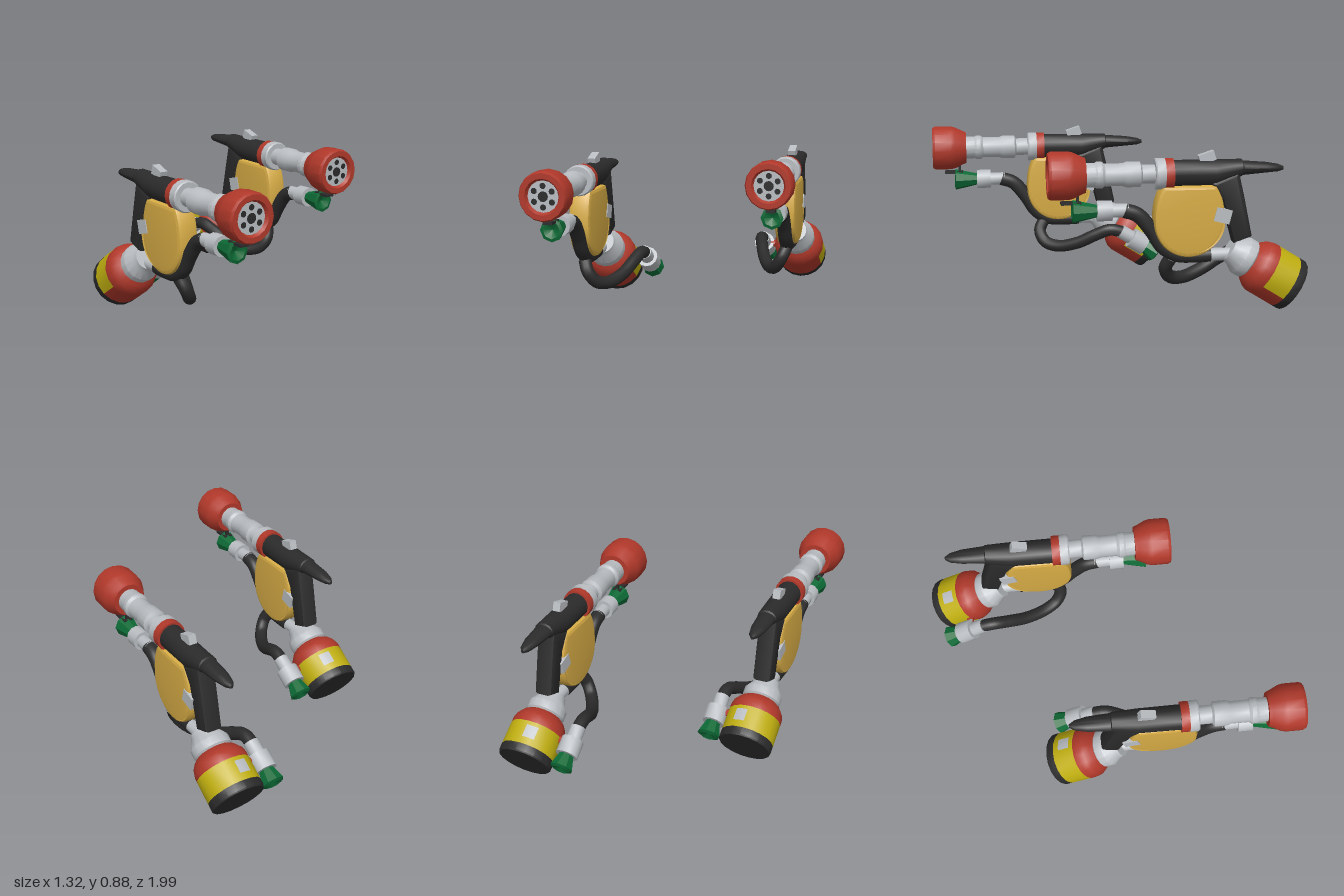
import * as THREE from 'three';
import { toCreasedNormals } from 'three/addons/utils/BufferGeometryUtils.js';

const mat = (name, color) => {
  const m = new THREE.MeshStandardMaterial({ color });
  m.name = name;
  return m;
};
const V = (x, y, z) => new THREE.Vector3(x, y, z);
const UP = V(0, 1, 0);
const FORWARD = V(0, 0, 1);
const TILT = V(0, 0.53, 0.85).normalize(); // fuel tank axis, from its base to its neck

// One torch gun centred on x = 0; side (+1 / -1) is where the loose hose hangs.
function makeTorch(M, side) {
  const gun = new THREE.Group();

  const add = (name, geometry, material) => {
    const mesh = new THREE.Mesh(geometry, material);
    mesh.name = name;
    gun.add(mesh);
    return mesh;
  };

  // Turned part: profile of [radius, distance] along dir from origin
  const turned = (name, material, origin, dir, profile, sides = 16, start = 0, sweep = Math.PI * 2) => {
    const pts = profile.map(([r, d]) => new THREE.Vector2(r, d));
    const g = toCreasedNormals(new THREE.LatheGeometry(pts, sides, start, sweep), 0.6);
    const mesh = add(name, g, material);
    mesh.position.copy(origin);
    mesh.quaternion.setFromUnitVectors(UP, dir);
    return mesh;
  };

  // Plate drawn in the (z, y) plane and extruded across x
  const plate = (name, material, shape, width, bevel) => {
    const g = new THREE.ExtrudeGeometry(shape, {
      depth: width - 2 * bevel, bevelThickness: bevel, bevelSize: bevel,
      bevelOffset: -bevel, bevelSegments: 2, curveSegments: 20,
    });
    g.translate(0, 0, -width / 2 + bevel);
    g.rotateY(-Math.PI / 2);
    return add(name, toCreasedNormals(g, 0.6), material);
  };

  const box = (name, material, size, pos, tilt = 0) => {
    const mesh = add(name, new THREE.BoxGeometry(...size), material);
    mesh.position.set(...pos);
    mesh.rotation.x = tilt;
    return mesh;
  };

  const hose = (name, points, radius) => add(name, new THREE.TubeGeometry(
    new THREE.CatmullRomCurve3(points.map(([x, y, z]) => V(x * side, y, z))), 40, radius, 12), M.black);

  // Nozzle with perforated burner face
  turned('nozzle', M.red, V(0, 0.76, 0.805), FORWARD, [
    [0.05, 0], [0.092, 0], [0.1, 0.02], [0.122, 0.065], [0.128, 0.09],
    [0.128, 0.18], [0.12, 0.195], [0.092, 0.195], [0.08, 0.175]]);
  add('burnerFace', new THREE.CircleGeometry(0.083, 20), M.gray).position.set(0, 0.76, 0.982);
  add('burnerCentre', new THREE.CircleGeometry(0.027, 12), M.black).position.set(0, 0.76, 0.985);
  for (let i = 0; i < 6; i++) {
    const a = (i + 0.5) * Math.PI / 3;
    add('burnerHole', new THREE.CircleGeometry(0.016, 10), M.black)
      .position.set(0.054 * Math.cos(a), 0.76 + 0.054 * Math.sin(a), 0.985);
  }

  // Stepped barrel and collars
  turned('barrel', M.gray, V(0, 0.76, 0.42), FORWARD, [
    [0.05, 0], [0.05, 0.09], [0.068, 0.1], [0.068, 0.17], [0.06, 0.19], [0.06, 0.285],
    [0.071, 0.3], [0.071, 0.325], [0.065, 0.335], [0.065, 0.4]]);
  turned('barrelCollar', M.gray, V(0, 0.76, 0.39), FORWARD, [
    [0.084, 0], [0.084, 0.045], [0.078, 0.052], [0, 0.052]]);
  turned('redCollar', M.red, V(0, 0.76, 0.345), FORWARD, [
    [0, 0], [0.082, 0], [0.082, 0.045]]);

  // Receiver lofted into a slim tail: [z, centre y, half width, half height]
  const sections = [
    [0.36, 0.76, 0.068, 0.071], [0.12, 0.76, 0.066, 0.07], [-0.02, 0.785, 0.054, 0.045],
    [-0.025, 0.783, 0.05, 0.038], [-0.15, 0.783, 0.042, 0.028], [-0.215, 0.78, 0.028, 0.02],
    [-0.245, 0.778, 0.008, 0.01]];
  const N = 14, pos = [], idx = [];
  sections.forEach(([z, y, w, h], s) => {
    for (let i = 0; i < N; i++) {
      const a = (i / N) * Math.PI * 2;
      pos.push(w * Math.cos(a), y + h * Math.sin(a), z);
      if (s === 0) continue;
      const p = (s - 1) * N, j = (i + 1) % N;
      idx.push(p + i, p + j, p + N + i, p + j, p + N + j, p + N + i);
    }
  });
  const last = (sections.length - 1) * N;
  for (let i = 1; i < N - 1; i++) idx.push(last, last + i + 1, last + i, 0, i, i + 1);
  // Loft runs toward -z, so flip the side faces outward
  for (let t = 0; t < (sections.length - 1) * N * 6; t += 3) [idx[t + 1], idx[t + 2]] = [idx[t + 2], idx[t + 1]];
  const loft = new THREE.BufferGeometry();
  loft.setAttribute('position', new THREE.Float32BufferAttribute(pos, 3));
  loft.setIndex(idx);
  add('receiver', toCreasedNormals(loft, 0.6), M.black);
  box('sight', M.gray, [0.042, 0.05, 0.085], [0, 0.842, 0.165], 0.32);

  // Ring-shaped guard with an off-centre finger hole
  const guard = new THREE.Shape();
  guard.moveTo(0.12, 0.7);
  guard.lineTo(0.4, 0.7);
  guard.quadraticCurveTo(0.45, 0.63, 0.447, 0.505);
  guard.absarc(0.26, 0.505, 0.187, 0, -Math.PI, true);
  guard.quadraticCurveTo(0.07, 0.63, 0.12, 0.7);
  const finger = new THREE.Path();
  finger.absarc(0.235, 0.505, 0.14, 0, Math.PI * 2, false);
  guard.holes.push(finger);
  plate('triggerGuard', M.gold, guard, 0.118, 0.022);

  // Grip with side clip
  const grip = new THREE.Shape([[0.15, 0.71], [0.085, 0.62], [0.02, 0.385], [-0.077, 0.42],
    [-0.035, 0.62], [0.0, 0.77]].reverse().map(([z, y]) => new THREE.Vector2(z, y)));
  plate('grip', M.black, grip, 0.105, 0.022);
  box('gripClip', M.gray, [0.126, 0.075, 0.085], [0, 0.54, 0.085], -0.25);

  // Pilot jet under the nozzle
  turned('pilotConnector', M.gray, V(0, 0.57, 0.58), FORWARD, [
    [0, 0], [0.037, 0], [0.037, 0.085], [0.055, 0.085], [0.055, 0.165], [0, 0.165]], 12);
  turned('pilotCone', M.green, V(0, 0.57, 0.74), FORWARD, [
    [0.033, 0], [0.062, 0.13], [0.045, 0.135], [0, 0.11]], 8);
  box('igniterPlate', M.black, [0.05, 0.014, 0.105], [0, 0.615, 0.88]);
  box('igniterPost', M.black, [0.02, 0.08, 0.014], [0, 0.65, 0.845]);

  // Main fuel line beneath the guard
  hose('fuelLine', [[0, 0.57, 0.6], [0, 0.545, 0.53], [0, 0.46, 0.455], [0, 0.37, 0.395],
    [0, 0.325, 0.32], [0, 0.317, 0.23], [0, 0.32, 0.14]], 0.04);
  turned('linePipe', M.gray, V(0, 0.32, -0.02), FORWARD, [
    [0.035, 0], [0.035, 0.18], [0, 0.18]], 12);

  // Fuel tank
  const base = V(0, 0.134, -0.312);
  const third = Math.PI / 3;
  const bandProfile = [[0.148, 0.048], [0.148, 0.178]];
  turned('tankBase', M.black, base, TILT, [[0, 0], [0.143, 0], [0.148, 0.008], [0.148, 0.048]], 18);
  turned('tankBand', M.yellow, base, TILT, bandProfile, 12, third, 4 * third);
  turned('tankUnderside', M.red, base, TILT, bandProfile, 6, -third, 2 * third);
  turned('tankShoulder', M.red, base, TILT, [
    [0.148, 0.178], [0.148, 0.205], [0.14, 0.235], [0.118, 0.265], [0.085, 0.29]], 18);
  turned('tankNeck', M.gray, base, TILT, [
    [0.09, 0.275], [0.107, 0.29], [0.107, 0.335], [0.078, 0.38], [0.07, 0.41], [0, 0.41]]);
  turned('tankLabel', M.gray, base, TILT, [[0.152, 0.085], [0.152, 0.155]],
    3, Math.PI - side * 0.25 - 0.22, 0.44);

  // Side hose with its valve beside the tank
  hose('sideHose', [[0, 0.31, 0.35], [0.025, 0.25, 0.375], [0.065, 0.19, 0.345], [0.11, 0.172, 0.27],
    [0.16, 0.2, 0.16], [0.195, 0.255, 0.05], [0.213, 0.285, -0.03], [0.216, 0.268, -0.11]], 0.036);
  const down = TILT.clone().negate();
  const valve = V(0.216 * side, 0.275, -0.09);
  turned('valveConnector', M.gray, valve, down, [
    [0, 0], [0.041, 0], [0.041, 0.075], [0.061, 0.075], [0.061, 0.17], [0, 0.17]], 12);
  turned('valveCone', M.green, valve, down, [
    [0.04, 0.165], [0.064, 0.245], [0.045, 0.255], [0, 0.235]], 8);
  turned('valveStrut', M.red, V(0.09 * side, 0.225, -0.17), V(side, 0, 0), [
    [0.022, 0], [0.022, 0.1]], 8);

  return gun;
}

export function createModel() {
  const M = {
    red: mat('red paint', 0xb0382a),
    gray: mat('light metal', 0xb9bdc1),
    black: mat('black rubber', 0x2b2b2b),
    gold: mat('gold guard', 0xd6ab45),
    yellow: mat('tank yellow', 0xbfae10),
    green: mat('green fitting', 0x0d6a36),
  };
  const model = new THREE.Group();
  model.name = 'torchPair';
  // Mirrored pair, staggered front to back
  for (const [name, side, x, z] of [['rightTorch', 1, -0.512, 0], ['leftTorch', -1, 0.512, -0.6]]) {
    const gun = makeTorch(M, side);
    gun.name = name;
    gun.position.set(x, 0, z);
    model.add(gun);
  }
  return model;
}
